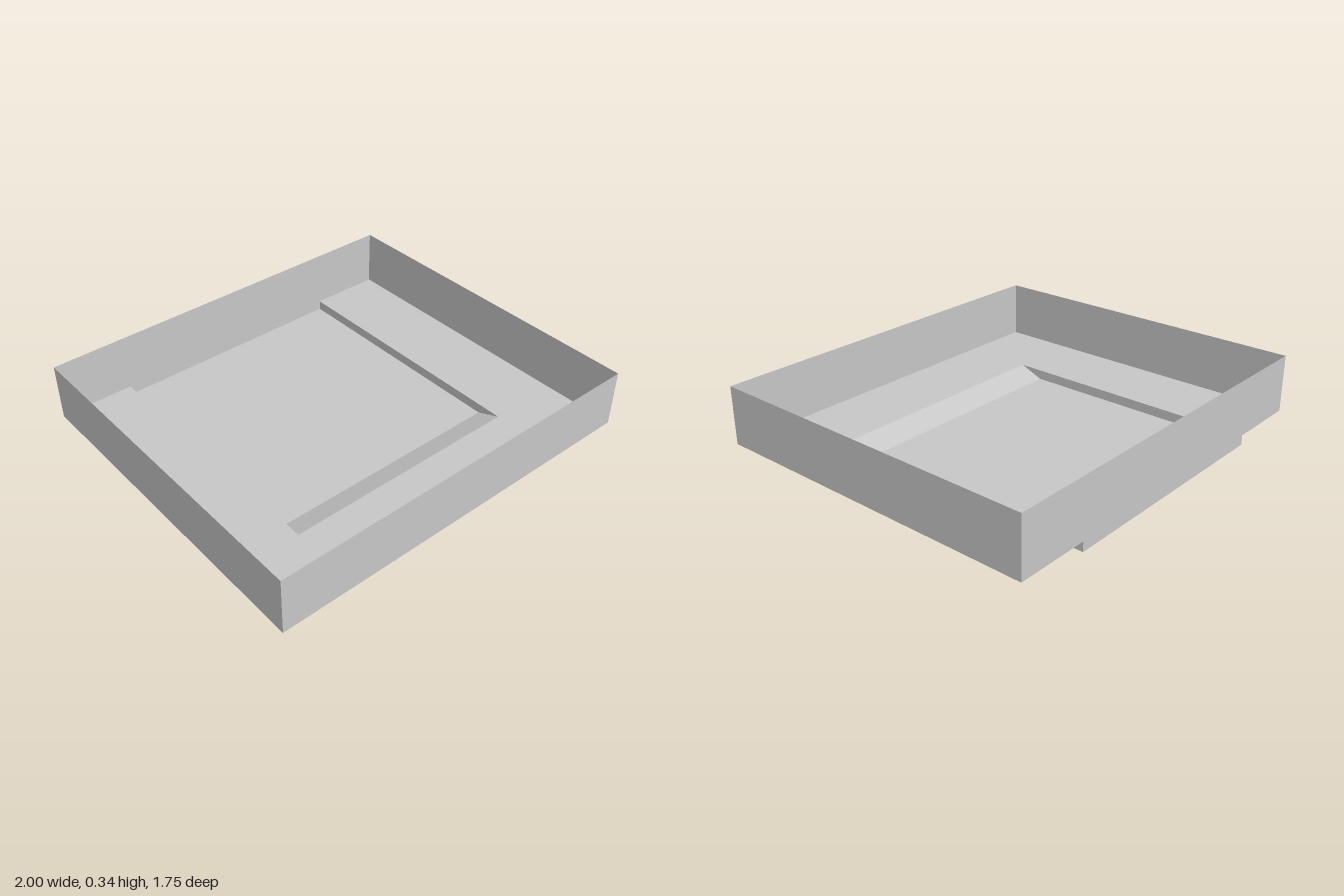
import * as THREE from 'three';

const X = 1, Z = 0.875;            // half width and half depth of the tray
const TOP = 0.345, FLOOR = 0.05;   // rim and raised floor heights
const CX = 0.625;                  // half width of the sunken channel
const RAMP0 = 0.375, RAMP1 = 0.5;  // start and end of the channel ramp

export function createModel() {
  const group = new THREE.Group();
  group.name = 'tray';
  const grey = new THREE.MeshStandardMaterial({ color: 0xc8c8c8, side: THREE.DoubleSide });
  grey.name = 'light grey';

  // Flat sheet from a convex outline of [x, y, z] corners, counter-clockwise from its outside
  const sheet = (name, ...corners) => {
    const triangles = [];
    for (let i = 1; i < corners.length - 1; i++) {
      triangles.push(...corners[0], ...corners[i], ...corners[i + 1]);
    }
    const geometry = new THREE.BufferGeometry();
    geometry.setAttribute('position', new THREE.Float32BufferAttribute(triangles, 3));
    geometry.computeVertexNormals();
    const mesh = new THREE.Mesh(geometry, grey);
    mesh.name = name;
    group.add(mesh);
  };

  // Front wall
  sheet('frontWall', [-X, FLOOR, Z], [X, FLOOR, Z], [X, TOP, Z], [-X, TOP, Z]);

  // Back wall, with a tongue closing the end of the channel
  sheet('backWall', [X, FLOOR, -Z], [-X, FLOOR, -Z], [-X, TOP, -Z], [X, TOP, -Z]);
  sheet('channelBack', [CX, 0, -Z], [-CX, 0, -Z], [-CX, FLOOR, -Z], [CX, FLOOR, -Z]);

  // Mirrored walls, floor strips and channel sides
  for (const [side, s] of [['left', 1], ['right', -1]]) {
    const mirrored = (name, ...corners) => {
      const points = corners.map(([x, y, z]) => [s * x, y, z]);
      sheet(side + name, ...(s < 0 ? points.reverse() : points));
    };
    mirrored('Wall', [X, FLOOR, Z], [X, FLOOR, -Z], [X, TOP, -Z], [X, TOP, Z]);
    mirrored('Floor', [CX, FLOOR, -Z], [CX, FLOOR, RAMP1], [X, FLOOR, RAMP1], [X, FLOOR, -Z]);
    mirrored('ChannelSide', [CX, 0, RAMP0], [CX, 0, -Z], [CX, FLOOR, -Z], [CX, FLOOR, RAMP1]);
  }

  // Floor in front of the channel, the ramp, and the channel bottom
  sheet('frontFloor', [-X, FLOOR, RAMP1], [-X, FLOOR, Z], [X, FLOOR, Z], [X, FLOOR, RAMP1]);
  sheet('ramp', [-CX, 0, RAMP0], [-CX, FLOOR, RAMP1], [CX, FLOOR, RAMP1], [CX, 0, RAMP0]);
  sheet('channelFloor', [-CX, 0, -Z], [-CX, 0, RAMP0], [CX, 0, RAMP0], [CX, 0, -Z]);

  return group;
}
